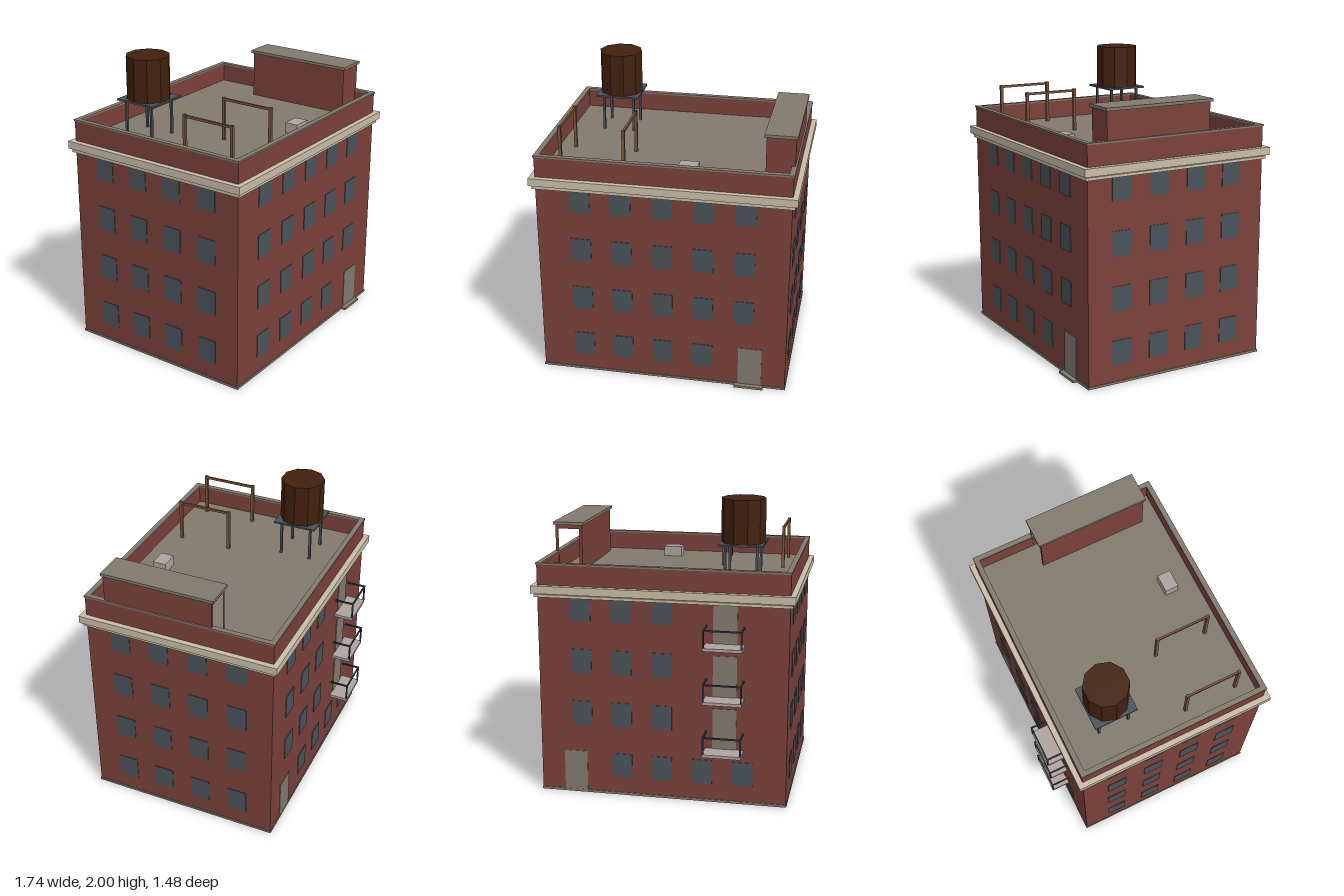
import * as THREE from 'three';

const paint = (name, color) => {
  const m = new THREE.MeshStandardMaterial({ color });
  m.name = name;
  return m;
};

export function createModel() {
  const brick = paint('brick red', 0x7b413b);
  const stone = paint('cornice cream', 0xc8bda8);
  const concrete = paint('concrete grey', 0x827a6d);
  const slate = paint('slate blue', 0x4a535b);
  const iron = paint('railing iron', 0x333a42);
  const slab = paint('pale slab', 0xafa39f);
  const wood = paint('tank wood', 0x42210f);
  const timber = paint('frame timber', 0x7a5439);

  const model = new THREE.Group();
  model.name = 'apartmentBuilding';
  const HX = 0.835, HZ = 0.657, ZC = 0.047, ROOF = 1.45, FLOOR = 0.36;

  const add = (name, geo, mat, parent = model) => {
    const m = new THREE.Mesh(geo, mat);
    m.name = name;
    parent.add(m);
    return m;
  };
  const group = (name) => {
    const g = new THREE.Group();
    g.name = name;
    model.add(g);
    return g;
  };
  // box given by its lower and upper corners
  const box = (name, mat, [x0, x1], [y0, y1], [z0, z1], parent) => {
    const m = add(name, new THREE.BoxGeometry(x1 - x0, y1 - y0, z1 - z0), mat, parent);
    m.position.set((x0 + x1) / 2, (y0 + y1) / 2, (z0 + z1) / 2);
    return m;
  };
  // block around the building's centre, grown by an overhang
  const layer = (name, mat, over, y) =>
    box(name, mat, [-HX - over, HX + over], y, [ZC - HZ - over, ZC + HZ + over]);
  // rectangular ring around the roof
  const ring = (name, mat, over, inset, y0, y1) => {
    const rect = (T, a, b) => new T([[-a, -b], [a, -b], [a, b], [-a, b]].map(p => new THREE.Vector2(...p)));
    const s = rect(THREE.Shape, HX + over, HZ + over);
    s.holes.push(rect(THREE.Path, HX - inset, HZ - inset));
    const geo = new THREE.ExtrudeGeometry(s, { depth: y1 - y0, bevelEnabled: false });
    geo.rotateX(-Math.PI / 2);
    add(name, geo, mat).position.set(0, y0, ZC);
  };

  // body, cornice, parapet and roof
  layer('basePlinth', concrete, 0.005, [0, 0.016]);
  layer('walls', brick, 0, [0.016, 1.44]);
  layer('lowerCornice', stone, 0.018, [1.357, 1.376]);
  layer('cornice', stone, 0.036, [1.384, 1.436]);
  ring('parapet', brick, 0, 0.025, 1.44, 1.573);
  ring('parapetCap', concrete, 0.005, 0.03, 1.573, 1.585);
  box('roofDeck', concrete, [-HX + 0.02, HX - 0.02], [1.438, ROOF], [ZC - HZ + 0.02, ZC + HZ - 0.02]);

  // thin plates on the walls: u runs along x or z
  const T = 0.004;
  const plate = (side, name, mat, u, w, y0, y1) => {
    const span = [u - w / 2, u + w / 2];
    if (side === 'front' || side === 'back') {
      const z = side === 'front' ? ZC + HZ : ZC - HZ;
      box(name, mat, span, [y0, y1], [z - T, z + T]);
    } else {
      const x = side === 'left' ? HX : -HX;
      box(name, mat, [x - T, x + T], [y0, y1], span);
    }
  };
  const windowAt = (side, u, floor) =>
    plate(side, side + 'Window', slate, u, 0.136, 0.127 + floor * FLOOR, 0.293 + floor * FLOOR);

  for (let floor = 0; floor < 4; floor++) {
    for (let i = -2; i <= 2; i++) {
      const x = i * 0.272;
      if (floor > 0 || i < 2) windowAt('front', x, floor);
      if (floor === 0 ? i < 2 : i >= 0) windowAt('back', x, floor);
    }
    for (let i = 0; i < 4; i++) {
      const z = 0.051 + (i - 1.5) * 0.275;
      windowAt('left', z, floor);
      windowAt('right', z, floor);
    }
  }
  plate('front', 'frontDoor', concrete, 0.595, 0.158, 0.016, 0.297);
  plate('back', 'backDoor', concrete, 0.595, 0.158, 0.016, 0.297);
  box('frontStep', concrete, [0.495, 0.69], [0, 0.016], [0.7, 0.74]);

  // balconies with doors at the back
  for (let floor = 1; floor < 4; floor++) {
    const y = floor * FLOOR, g = group('balcony');
    const wall = ZC - HZ, edge = -0.74, r = 0.01;
    plate('back', 'balconyDoor', concrete, -0.42, 0.158, y + 0.015, y + 0.297);
    box('balconySlab', slab, [-0.549, -0.292], [y, y + 0.02], [edge, wall], g);
    const rail = [y + 0.13, y + 0.14];
    box('frontRail', iron, [-0.549, -0.292], rail, [edge, edge + r], g);
    for (const x of [-0.549, -0.292 - r]) {
      box('sideRail', iron, [x, x + r], rail, [edge, wall], g);
      box('railPost', iron, [x, x + r], [y + 0.02, y + 0.13], [edge, edge + r], g);
    }
  }

  // roof stair house: outward faces with an open doorway at the back
  const stair = group('stairHouse');
  const X0 = 0.642, X1 = 0.829, Z0 = -0.192, Z1 = 0.562, TOP = 1.768;
  const h = TOP - ROOF, yc = (TOP + ROOF) / 2, xc = (X0 + X1) / 2, zc = (Z0 + Z1) / 2;
  for (const [x, z, w, turn] of [
    [X0, zc, Z1 - Z0, -Math.PI / 2], [X1, zc, Z1 - Z0, Math.PI / 2], [xc, Z1, X1 - X0, 0],
  ]) {
    const m = add('stairWall', new THREE.PlaneGeometry(w, h), brick, stair);
    m.position.set(x, yc, z);
    m.rotation.y = turn;
  }
  const hw = (X1 - X0) / 2, dw = 0.072, dh = 0.29;
  const frame = new THREE.Shape([
    [-hw, 0], [-dw, 0], [-dw, dh], [dw, dh], [dw, 0], [hw, 0], [hw, h], [-hw, h],
  ].map(p => new THREE.Vector2(...p)));
  const doorway = add('stairDoorway', new THREE.ShapeGeometry(frame), brick, stair);
  doorway.position.set(xc, ROOF, Z0);
  doorway.rotation.y = Math.PI;
  box('stairRoof', concrete, [0.629, 0.84], [TOP, 1.788], [-0.208, 0.573], stair);

  // water tank on a legged platform
  const tank = group('waterTank');
  tank.position.set(-0.481, 0, -0.267);
  const barrel = new THREE.CylinderGeometry(0.147, 0.147, 0.29, 10).toNonIndexed();
  barrel.computeVertexNormals();
  barrel.rotateY(Math.PI / 2);
  add('tankBarrel', barrel, wood, tank).position.y = 1.855;
  box('tankPlatform', slate, [-0.148, 0.148], [1.698, 1.71], [-0.148, 0.148], tank);
  for (const x of [-0.105, 0.105]) for (const z of [-0.105, 0.105])
    box('tankLeg', slate, [x - 0.008, x + 0.008], [ROOF, 1.698], [z - 0.008, z + 0.008], tank);

  // timber drying frames
  for (const x of [-0.697, -0.276]) {
    const g = group('dryingFrame');
    for (const z of [0.198, 0.562])
      box('framePost', timber, [x - 0.01, x + 0.01], [ROOF, 1.742], [z - 0.01, z + 0.01], g);
    box('frameBeam', timber, [x - 0.007, x + 0.007], [1.722, 1.738], [0.198, 0.562], g);
  }

  // roof vent
  box('roofVent', slab, [0.076, 0.202], [ROOF, 1.52], [0.452, 0.545]);

  return model;
}
